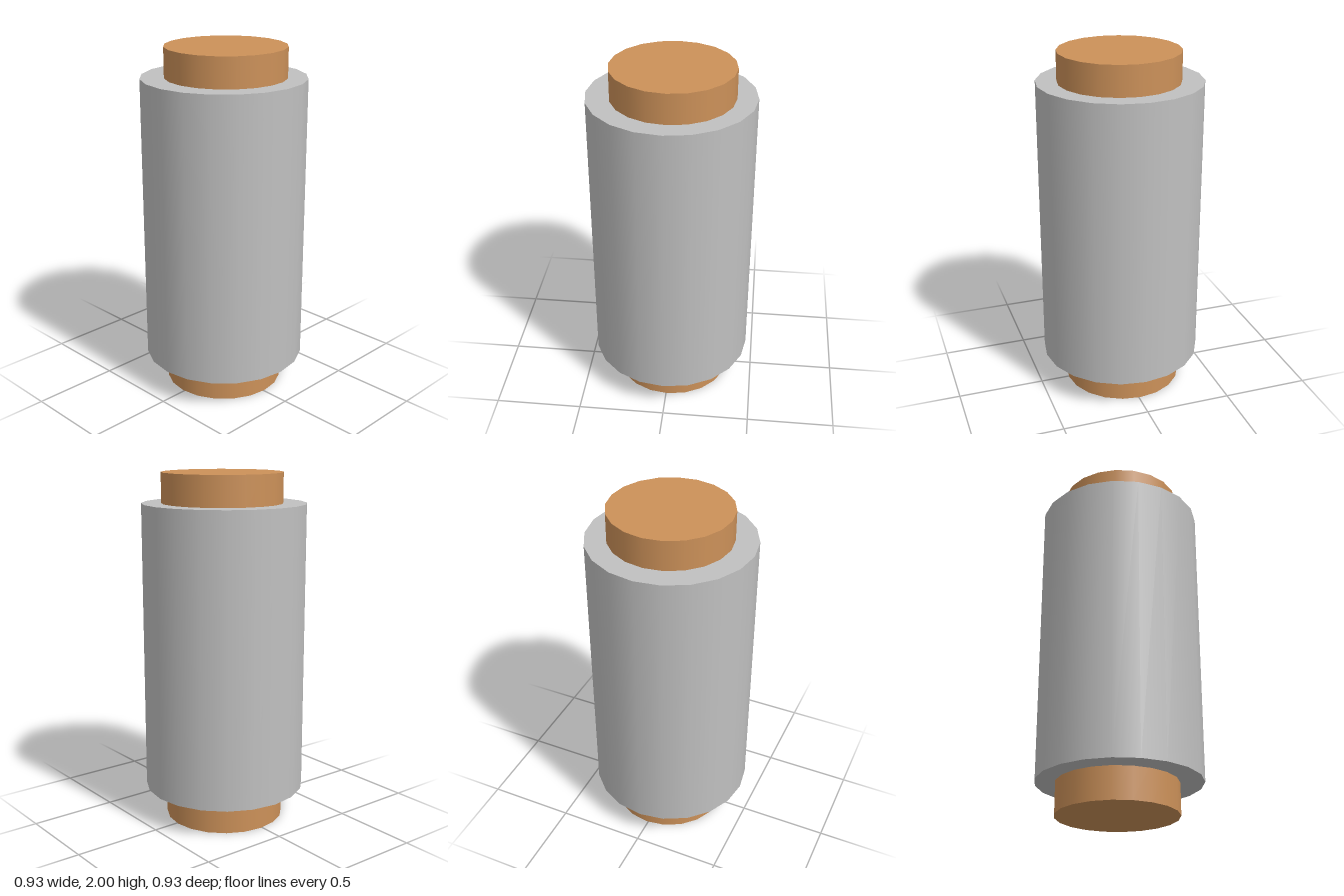
import * as THREE from 'three';

const SIDES = 20;

export function createModel() {
  const steel = new THREE.MeshStandardMaterial({ color: 0xc0c0c0 });
  steel.name = 'grey';
  const copper = new THREE.MeshStandardMaterial({ color: 0xcc9159 });
  copper.name = 'copper';

  const model = new THREE.Group();
  model.name = 'cylinderWithEndCaps';

  // Upright cylinder between two heights
  function addCylinder(name, material, radius, bottom, top, x = 0, z = 0) {
    const geometry = new THREE.CylinderGeometry(radius, radius, top - bottom, SIDES);
    const mesh = new THREE.Mesh(geometry, material);
    mesh.name = name;
    mesh.position.set(x, (bottom + top) / 2, z);
    model.add(mesh);
  }

  // Main body
  addCylinder('body', steel, 0.463, 0.18, 1.83);

  // End caps, slightly off centre and seated a little inside the body
  addCylinder('topCap', copper, 0.341, 1.8, 2, 0.008, 0.007);
  addCylinder('bottomCap', copper, 0.341, 0, 0.21, 0.008, -0.01);

  return model;
}
